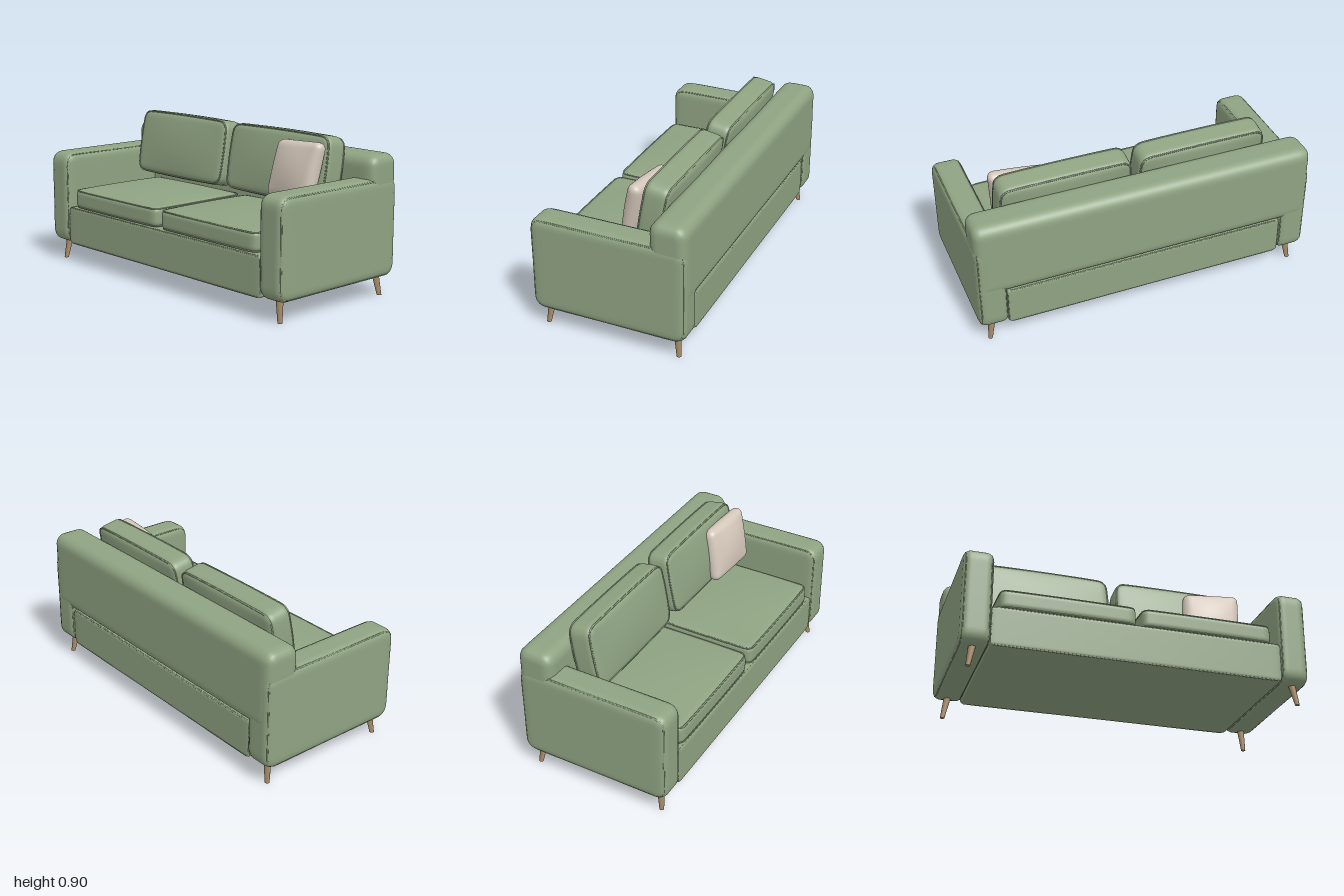
import * as THREE from 'three';
import { mergeVertices } from 'three/addons/utils/BufferGeometryUtils.js';

const fabric = new THREE.MeshStandardMaterial({ name: 'sage fabric', color: 0x8fa382 });
const linen = new THREE.MeshStandardMaterial({ name: 'beige linen', color: 0xd3c6b9 });
const wood = new THREE.MeshStandardMaterial({ name: 'light wood', color: 0xab906e });

// Upholstered block in the xy plane, thickness along z.
// R rounds the outline, r (<= R) the edges; puff swells both faces, bow swells the outline.
function padGeometry({ w, h, d, R, r, puff = 0, bow = 0, seg = 24 }) {
  const geo = new THREE.BoxGeometry(2, 2, 2, seg, seg, seg);
  geo.deleteAttribute('uv');
  geo.deleteAttribute('normal');
  const merged = mergeVertices(geo, 1e-5);
  const pos = merged.attributes.position;
  // crowd the grid lines towards the edges so the roundings are smooth
  const ease = (t) => Math.sin((t * Math.PI) / 2);
  for (let i = 0; i < pos.count; i++) {
    const x = (ease(pos.getX(i)) * w) / 2;
    const y = (ease(pos.getY(i)) * h) / 2;
    let z = (ease(pos.getZ(i)) * d) / 2;
    const cx = THREE.MathUtils.clamp(x, R - w / 2, w / 2 - R);
    const cy = THREE.MathUtils.clamp(y, R - h / 2, h / 2 - R);
    const qx = x - cx, qy = y - cy;
    const length = Math.hypot(qx, qy);
    let l = Math.max(Math.abs(qx), Math.abs(qy));
    const a = (l - (R - r)) / r;
    const b = (Math.abs(z) - (d / 2 - r)) / r;
    if (a > 0 && b > 0) {
      const f = Math.max(a, b) / Math.hypot(a, b);
      l = R - r + a * f * r;
      z = Math.sign(z) * (d / 2 - r + b * f * r);
    }
    const k = length > 1e-9 ? l / length : 0;
    const px = cx + qx * k, py = cy + qy * k;
    const u = 1 - (2 * px / w) ** 2, v = 1 - (2 * py / h) ** 2;
    z += puff * u * v * (2 * z / d);
    pos.setXYZ(i, px * (1 + bow * v), py * (1 + bow * u), z);
  }
  merged.computeVertexNormals();
  return merged;
}

// Piping cord following the same rounded outline at height z
function pipingGeometry({ w, h, R, bow = 0 }, z, inset, radius = 0.005) {
  const points = [];
  const add = (x, y) => points.push(new THREE.Vector3(
    x * (1 + bow * (1 - (2 * y / h) ** 2)), y * (1 + bow * (1 - (2 * x / w) ** 2)), z));
  const sx = [1, -1, -1, 1], sy = [1, 1, -1, -1];
  for (let c = 0; c < 4; c++) {
    for (let k = 0; k <= 6; k++) {
      const t = ((c + k / 6) * Math.PI) / 2;
      add(sx[c] * (w / 2 - R) + (R - inset) * Math.cos(t),
        sy[c] * (h / 2 - R) + (R - inset) * Math.sin(t));
    }
    // midpoint of the straight run to the next corner
    if (c % 2 === 0) add(0, sy[c] * (h / 2 - inset));
    else add(sx[c] * (w / 2 - inset), 0);
  }
  const curve = new THREE.CatmullRomCurve3(points, true, 'centripetal');
  return new THREE.TubeGeometry(curve, 120, radius, 6, true);
}

// A padded part with optional piping on both faces
function upholstered(name, size, pipe) {
  const group = new THREE.Group();
  group.name = name;
  const body = new THREE.Mesh(padGeometry(size), fabric);
  body.name = name + 'Body';
  group.add(body);
  if (pipe) {
    for (const s of [1, -1]) {
      const cord = new THREE.Mesh(pipingGeometry(size, s * (size.d / 2 - pipe), pipe), fabric);
      cord.name = name + 'Piping';
      group.add(cord);
    }
  }
  return group;
}

export function createModel() {
  const sofa = new THREE.Group();
  sofa.name = 'sofa';

  // Base box between the arms
  const base = upholstered('base', { w: 1.67, h: 0.23, d: 0.88, R: 0.02, r: 0.015 }, 0.006);
  base.position.set(0, 0.23, 0);
  sofa.add(base);

  // Backrest roll across the full width
  const backrest = upholstered('backrest',
    { w: 0.215, h: 0.465, d: 1.994, R: 0.065, r: 0.055, seg: 32 });
  backrest.rotation.y = Math.PI / 2;
  backrest.position.set(0, 0.573, -0.348);
  sofa.add(backrest);

  for (const side of [-1, 1]) {
    const tag = side > 0 ? 'left' : 'right';

    // Arm
    const arm = upholstered(tag + 'Arm', { w: 0.906, h: 0.56, d: 0.172, R: 0.065, r: 0.045 }, 0.015);
    arm.rotation.y = Math.PI / 2;
    arm.position.set(side * 0.914, 0.395, 0);
    sofa.add(arm);

    // Seat cushion
    const seat = upholstered(tag + 'SeatCushion',
      { w: 0.77, h: 0.67, d: 0.115, R: 0.04, r: 0.03, puff: 0.024, bow: 0.012 }, 0.008);
    seat.rotation.x = -Math.PI / 2;
    seat.position.set(side * 0.403, 0.402, 0.096);
    sofa.add(seat);

    // Leaning back cushion
    const back = upholstered(tag + 'BackCushion',
      { w: 0.755, h: 0.385, d: 0.145, R: 0.055, r: 0.035, puff: 0.02, bow: 0.03 }, 0.009);
    back.rotation.x = -0.175;
    back.position.set(side * 0.407, 0.702, -0.165);
    sofa.add(back);

    // Splayed tapered legs
    for (const end of [-1, 1]) {
      const top = new THREE.Vector3(side * 0.917, 0.13, end * 0.377);
      const foot = new THREE.Vector3(side * 0.938, 0, end * 0.394);
      const legGeo = new THREE.CylinderGeometry(0.021, 0.013, 0.13, 20);
      const pos = legGeo.attributes.position;
      for (let i = 0; i < pos.count; i++) {
        const t = pos.getY(i) / 0.13 + 0.5;
        const c = foot.clone().lerp(top, t);
        pos.setXYZ(i, pos.getX(i) + c.x, c.y, pos.getZ(i) + c.z);
      }
      const leg = new THREE.Mesh(legGeo, wood);
      leg.name = tag + (end > 0 ? 'FrontLeg' : 'BackLeg');
      sofa.add(leg);
    }
  }

  // Throw pillow, slightly skewed, leaning on the left back cushion
  const pillowGeo = padGeometry({ w: 0.35, h: 0.325, d: 0.075, R: 0.04, r: 0.036, puff: 0.03 });
  pillowGeo.applyMatrix4(new THREE.Matrix4().set(
    1, 0.09, 0, 0,
    0.03, 1, 0, 0,
    0, 0, 1, 0,
    0, 0, 0, 1));
  const pillow = new THREE.Mesh(pillowGeo, linen);
  pillow.name = 'throwPillow';
  pillow.rotation.set(-0.22, -0.1, 0);
  pillow.position.set(0.612, 0.706, -0.052);
  sofa.add(pillow);

  return sofa;
}
